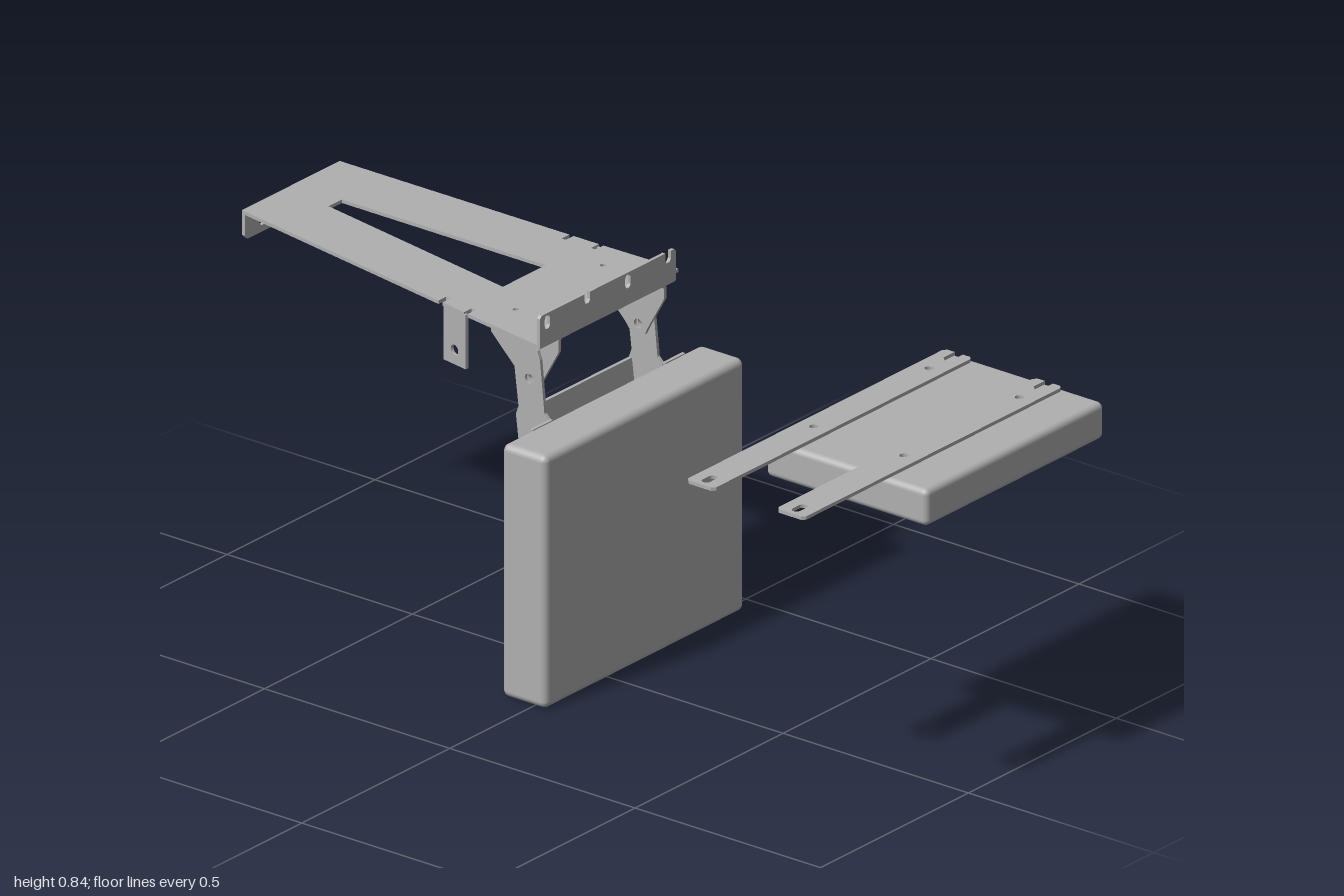
import * as THREE from 'three';
import { RoundedBoxGeometry } from 'three/addons/geometries/RoundedBoxGeometry.js';

const T = 0.008; // sheet thickness

export function createModel() {
  const root = new THREE.Group();
  const grey = new THREE.MeshStandardMaterial({ color: 0xb0b0b0 });
  grey.name = 'satin grey';

  const add = (name, geometry, parent = root) => {
    const mesh = new THREE.Mesh(geometry, grey);
    mesh.name = name;
    parent.add(mesh);
    return mesh;
  };
  const group = (name) => {
    const g = new THREE.Group();
    g.name = name;
    root.add(g);
    return g;
  };
  const poly = (pts) => new THREE.Path(pts.map(([x, y]) => new THREE.Vector2(x, y)));
  const round = (x, y, r) => new THREE.Path().absarc(x, y, r, 0, Math.PI * 2, true);
  // Oval slot, w wide and h high
  const oval = (x, y, w, h) => {
    const r = Math.min(w, h) / 2, dx = w / 2 - r, dy = h / 2 - r, p = new THREE.Path();
    if (w > h) {
      p.absarc(x + dx, y, r, -Math.PI / 2, Math.PI / 2, false);
      p.absarc(x - dx, y, r, Math.PI / 2, Math.PI * 1.5, false);
    } else {
      p.absarc(x, y + dy, r, 0, Math.PI, false);
      p.absarc(x, y - dy, r, Math.PI, Math.PI * 2, false);
    }
    p.closePath();
    return p;
  };
  // Extruded sheets: facing front (x, y), lying flat (x, -z), or on edge (-z, y)
  const sheet = (pts, holes = [], depth = T) => {
    const s = new THREE.Shape(pts.map(([x, y]) => new THREE.Vector2(x, y)));
    s.holes.push(...holes);
    return new THREE.ExtrudeGeometry(s, { depth, bevelEnabled: false, curveSegments: 8 });
  };
  const frontSheet = (z, pts, holes) => sheet(pts, holes).translate(0, 0, z);
  const flatSheet = (y, pts, holes) => sheet(pts, holes).rotateX(-Math.PI / 2).translate(0, y, 0);
  const sideSheet = (x, pts, holes, depth) => sheet(pts, holes, depth).rotateY(Math.PI / 2).translate(x, 0, 0);
  const rect = (x0, y0, x1, y1) => [[x0, y0], [x1, y0], [x1, y1], [x0, y1]];

  // Cushions
  add('backCushion', new RoundedBoxGeometry(0.675, 0.582, 0.12, 3, 0.016).translate(0.117, 0.292, -0.025));
  add('seatCushion', new RoundedBoxGeometry(0.602, 0.085, 0.436, 3, 0.014).translate(0.16, 0.702, 0.782));

  // Seat rails: slot at one end, open fork at the other
  for (const z of [0.647, 0.89]) {
    const c = -z, h = 0.038;
    add('seatRail', flatSheet(0.768, [
      [-0.465, c - h + 0.008], [-0.457, c - h], [0.402, c - h], [0.41, c - h + 0.008],
      [0.41, c - 0.011], [0.372, c - 0.011], [0.362, c], [0.372, c + 0.011], [0.41, c + 0.011],
      [0.41, c + h - 0.008], [0.402, c + h], [-0.457, c + h], [-0.465, c + h - 0.008],
    ], [oval(-0.432, c, 0.042, 0.02), round(-0.08, c, 0.01), round(0.31, c, 0.01)]));
  }

  // Top mounting plate with relief notches and a tapered window
  const frame = group('mountingFrame');
  const left = (d) => -0.115 + (d - 0.08) * 0.1793;
  const notchL = (d) => [[left(d + 0.006), d + 0.006], [left(d) + 0.026, d + 0.006],
    [left(d) + 0.026, d - 0.006], [left(d - 0.006), d - 0.006]];
  const notchR = (d) => [[0.381, d - 0.006], [0.355, d - 0.006], [0.355, d + 0.006], [0.381, d + 0.006]];
  add('topPlate', flatSheet(0.769, [
    [-0.115, 0.066], [0.345, 0.066], [0.345, 0.09], [0.385, 0.09],
    ...notchR(0.295), ...notchR(0.375), [0.38, 1], [0.05, 1], ...notchL(0.375), ...notchL(0.295),
  ], [
    poly([[0.08, 0.32], [0.225, 0.32], [0.225, 0.87], [0.18, 0.87]]),
    ...[0.005, 0.3].flatMap((x) => [0.12, 0.225].map((d) => round(x, d, 0.007))),
  ]), frame);

  // Upright front lip with closed and open slots
  const notch = (x) => [[x + 0.009, 0.845], [x + 0.009, 0.828], [x + 0.005, 0.821],
    [x - 0.005, 0.821], [x - 0.009, 0.828], [x - 0.009, 0.845]];
  add('frontLip', frontSheet(-0.072, [
    [-0.115, 0.772], [0.345, 0.772], [0.345, 0.839], [0.339, 0.845],
    ...notch(0.318), ...notch(0.045), [-0.109, 0.845], [-0.115, 0.839],
  ], [oval(-0.09, 0.825, 0.018, 0.032), oval(0.182, 0.825, 0.018, 0.032)]), frame);

  // Rear lip turned down
  add('rearLip', frontSheet(-1, [
    [0.06, 0.71], [0.37, 0.71], [0.38, 0.72], [0.38, 0.773], [0.05, 0.773], [0.05, 0.72],
  ], [round(0.11, 0.737, 0.012), round(0.26, 0.737, 0.012)]), frame);

  // Side tabs folded down from the plate edges
  for (const [x, turn] of [[0.376, 0], [-0.066, -0.178]]) {
    const tab = add('sideTab', sideSheet(-T / 2, rect(-0.035, 0.647, 0.035, 0.772),
      [round(0, 0.68, 0.012)]), frame);
    tab.position.set(x, 0, -0.33);
    tab.rotation.y = turn;
  }

  // Hinge brackets and the pan that carries the back cushion, mirrored about x = 0.15
  const hinge = group('hingeBrackets');
  const pan = group('backPan');
  for (const s of [-1, 1]) {
    const at = (off) => 0.15 + s * off - T / 2;
    add('hingePlate', sideSheet(at(0.178), [
      [0.08, 0.757], [0.08, 0.73], [0.122, 0.655], [0.132, 0.635], [0.15, 0.627], [0.17, 0.633],
      [0.185, 0.652], [0.263, 0.73], [0.263, 0.757],
    ], [round(0.15, 0.655, 0.011)]), hinge);
    // Bent shoulder and flat foot under the plate, as one folded strip
    const fold = [[0.182, 0.755], [0.179, 0.763], [0.171, 0.769], [0.12, 0.769],
      [0.12, 0.761], [0.169, 0.761], [0.174, 0.755]].map(([x, y]) => [0.15 + s * x, y]);
    add('hingeFoot', sheet(fold, [], 0.183).translate(0, 0, -0.263), hinge);

    add('sideArm', sideSheet(at(0.191), [
      [0.095, 0.11], [0.13, 0.11], [0.185, 0.565], [0.178, 0.585], [0.192, 0.7], [0.188, 0.722],
      [0.172, 0.736], [0.145, 0.736], [0.127, 0.725], [0.12, 0.705], [0.108, 0.585], [0.095, 0.572],
    ], [round(0.15, 0.655, 0.011)]), pan);
    const x0 = 0.15 + s * 0.19, x1 = 0.15 + s * 0.258;
    add('cushionFlange', frontSheet(-0.097, rect(Math.min(x0, x1), 0.11, Math.max(x0, x1), 0.575),
      [0.17, 0.53].map((y) => round(0.15 + s * 0.228, y, 0.011))), pan);
  }
  // Sloping rear panel between the arms
  add('rearPanel', sideSheet(-0.04, [[0.122, 0.11], [0.13, 0.11], [0.185, 0.565], [0.177, 0.565]], [], 0.38), pan);

  return root;
}
